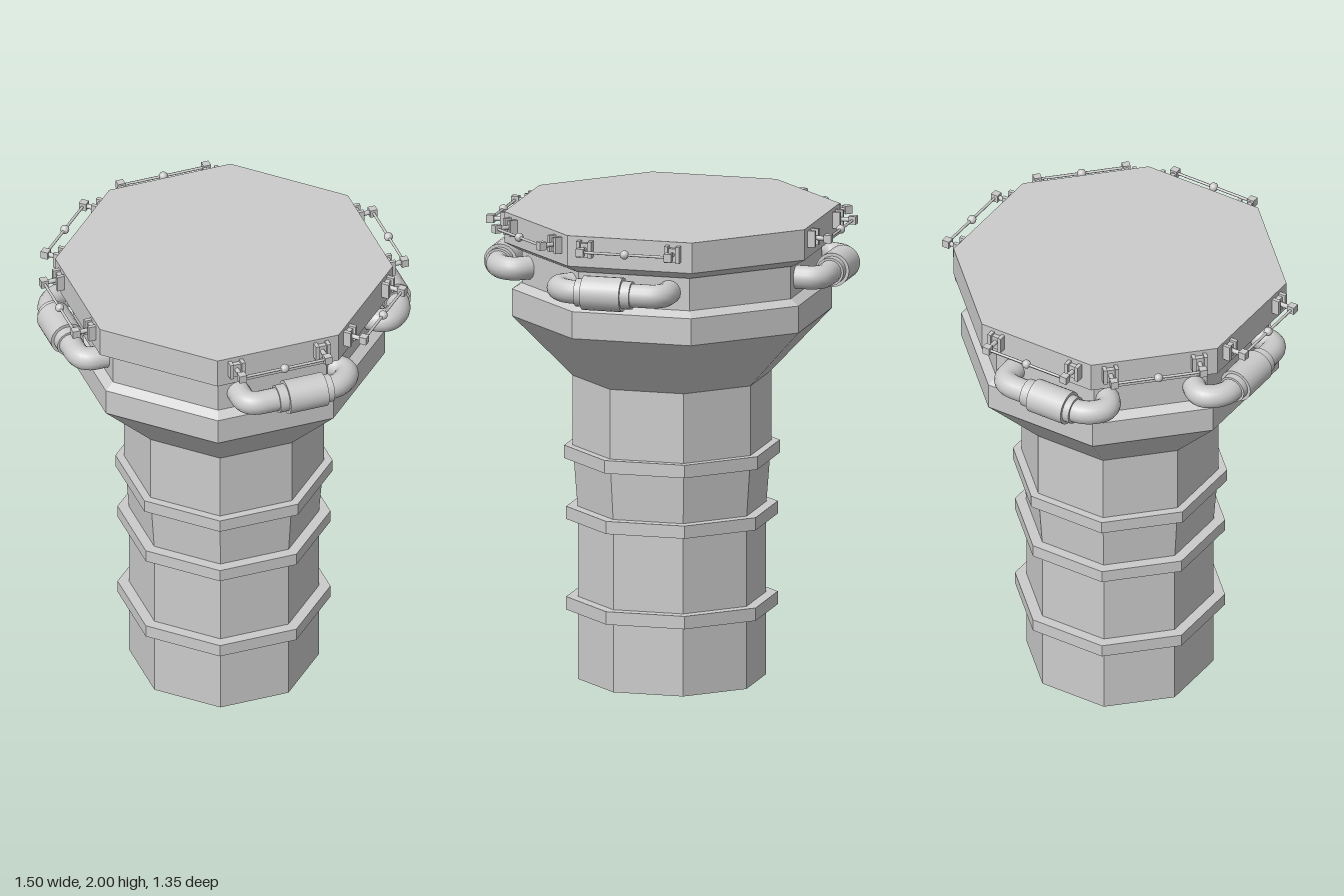
import * as THREE from 'three';

const flat = new THREE.MeshStandardMaterial({ color: 0xcccccc, flatShading: true });
const smooth = new THREE.MeshStandardMaterial({ color: 0xcccccc });
const V = (x, y, z) => new THREE.Vector3(x, y, z);

function add(parent, name, geometry, material, x = 0, y = 0, z = 0) {
  const mesh = new THREE.Mesh(geometry, material);
  mesh.name = name;
  mesh.position.set(x, y, z);
  parent.add(mesh);
  return mesh;
}

// Eight-sided solid from [half-width across flats, height] pairs, bottom to top
function octagon(profile) {
  const k = 1 / Math.cos(Math.PI / 8);
  const points = profile.map(([r, y]) => new THREE.Vector2(r * k, y));
  return new THREE.LatheGeometry(points, 8, Math.PI / 8);
}

// Cylinder between two points
function rod(parent, name, a, b, radius, sides = 24) {
  const dir = b.clone().sub(a);
  const mesh = add(parent, name, new THREE.CylinderGeometry(radius, radius, dir.length(), sides), smooth);
  mesh.position.copy(a).add(b).multiplyScalar(0.5);
  mesh.quaternion.setFromUnitVectors(V(0, 1, 0), dir.normalize());
  return mesh;
}

// Pipe on one diagonal: leaves the side face, bends round the corner, re-enters the diagonal face
function makePipe(sx, sz) {
  const pipe = new THREE.Group();
  pipe.name = 'pipe';
  const y = 1.77;
  const P = (x, z) => V(x * sx, y, z * sz);
  const path = new THREE.CurvePath();
  const straight = (a, b) => path.add(new THREE.LineCurve3(P(...a), P(...b)));
  const bend = (a, c, b) => path.add(new THREE.QuadraticBezierCurve3(P(...a), P(...c), P(...b)));
  straight([0.53, 0.185], [0.6, 0.185]);
  bend([0.6, 0.185], [0.665, 0.185], [0.67, 0.245]);
  bend([0.67, 0.245], [0.675, 0.3], [0.635, 0.34]);
  straight([0.635, 0.34], [0.43, 0.545]);
  bend([0.43, 0.545], [0.38, 0.595], [0.335, 0.55]);
  straight([0.335, 0.55], [0.27, 0.485]);
  add(pipe, 'pipeTube', new THREE.TubeGeometry(path, 60, 0.05, 16), smooth);
  // Sleeve and its narrower collar, along the straight run
  const along = (t) => P(0.56 + t * Math.SQRT1_2, 0.415 - t * Math.SQRT1_2);
  rod(pipe, 'pipeSleeve', along(-0.085), along(0.085), 0.072);
  rod(pipe, 'pipeCollar', along(-0.125), along(0.115), 0.059);
  return pipe;
}

// Handrail, built on the +z side and turned to its face
function makeRail(angle) {
  const rail = new THREE.Group();
  rail.name = 'rail';
  const y = 1.95, out = 0.73, face = 0.65, end = 0.19;
  for (const s of [-1, 1]) {
    const x = s * end;
    add(rail, 'railBase', new THREE.BoxGeometry(0.066, 0.06, 0.02), flat, x, y - 0.005, face + 0.01);
    for (const e of [-1, 1]) {
      add(rail, 'railLug', new THREE.BoxGeometry(0.016, 0.07, 0.036), flat, x + e * 0.025, y, face + 0.014);
    }
    rod(rail, 'railStub', V(x, y, face), V(x, y, out), 0.01, 10);
    add(rail, 'railEnd', new THREE.BoxGeometry(0.032, 0.034, 0.032), flat, x, y, out);
  }
  rod(rail, 'railBar', V(-end, y, out), V(end, y, out), 0.006, 8);
  add(rail, 'railJoint', new THREE.SphereGeometry(0.019, 14, 10), smooth, 0, y, out);
  rail.rotation.y = angle;
  return rail;
}

export function createModel() {
  const model = new THREE.Group();
  model.name = 'pillar';

  // Shaft, flared capital and recessed neck
  add(model, 'column', octagon([
    [0, 0], [0.365, 0], [0.365, 0.72], [0.385, 1.0], [0.385, 1.295],
    [0.62, 1.555], [0.62, 1.67], [0.582, 1.695], [0.582, 1.85], [0, 1.85],
  ]), flat);

  // Top slab with a chamfered underside
  add(model, 'topSlab', octagon([
    [0, 1.835], [0.59, 1.835], [0.65, 1.87], [0.65, 2], [0, 2],
  ]), flat);

  // Bands around the shaft: [half-width, bottom, top]
  for (const [r, y0, y1] of [[0.41, 0.297, 0.352], [0.41, 0.683, 0.737], [0.418, 0.943, 0.998]]) {
    add(model, 'shaftBand', octagon([[0.35, y0], [r, y0], [r, y1], [0.35, y1]]), flat);
  }

  // A pipe on each diagonal
  for (const sx of [-1, 1]) for (const sz of [-1, 1]) model.add(makePipe(sx, sz));

  // Rails on every face but the front and back
  for (const i of [1, 2, 3, 5, 6, 7]) model.add(makeRail(i * Math.PI / 4));

  return model;
}
